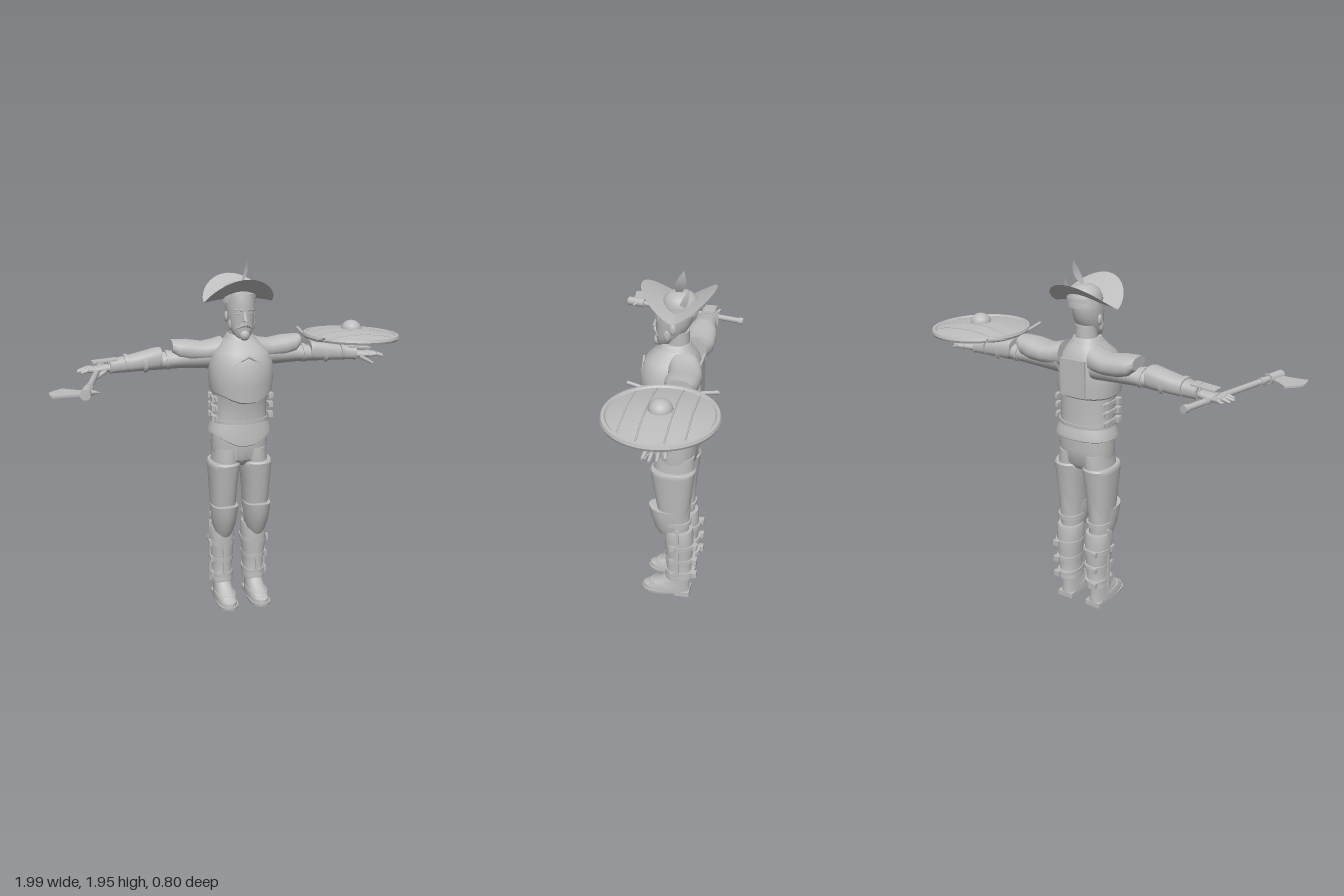
import * as THREE from 'three';
import { toCreasedNormals } from 'three/addons/utils/BufferGeometryUtils.js';

const steel = new THREE.MeshStandardMaterial({ color: 0xbcbcbc, side: THREE.DoubleSide });
steel.name = 'plain grey';

const V = (x, y, z) => new THREE.Vector3(x, y, z);

function add(parent, name, geo, x = 0, y = 0, z = 0) {
  const m = new THREE.Mesh(geo, steel);
  m.name = name;
  m.position.set(x, y, z);
  parent.add(m);
  return m;
}

// Closed skin over rounded cross-sections [y, cx, cz, rx, rz, frontDip, frontKeel], from low y to high y
function loft(sections, power = 0.85, n = 28) {
  const pos = [], idx = [];
  const sp = v => Math.sign(v) * Math.abs(v) ** power;
  for (const [y, cx, cz, rx, rz, dip = 0, keel = 0] of sections) {
    for (let i = 0; i < n; i++) {
      const a = i / n * Math.PI * 2, f = Math.max(0, Math.sin(a));
      pos.push(cx + rx * sp(Math.cos(a)), y - dip * f ** 4, cz + rz * sp(Math.sin(a)) + keel * f ** 10);
    }
  }
  const rows = sections.length, c0 = rows * n, last = (rows - 1) * n;
  for (const s of [sections[0], sections[rows - 1]]) pos.push(s[1], s[0], s[2]);
  for (let i = 0; i < n; i++) {
    const j = (i + 1) % n;
    for (let r = 0; r < rows - 1; r++) {
      const a = r * n + i, b = r * n + j;
      idx.push(a, a + n, b + n, a, b + n, b);
    }
    idx.push(c0, i, j, c0 + 1, last + j, last + i);
  }
  const g = new THREE.BufferGeometry();
  g.setAttribute('position', new THREE.Float32BufferAttribute(pos, 3));
  g.setIndex(idx);
  return toCreasedNormals(g, 0.7);
}

// Tapered rod between two points
function rod(parent, name, a, b, r1, r2 = r1, sides = 12) {
  const d = b.clone().sub(a);
  const m = add(parent, name, new THREE.CylinderGeometry(r2, r1, d.length(), sides));
  m.position.copy(a).add(b).multiplyScalar(0.5);
  m.quaternion.setFromUnitVectors(V(0, 1, 0), d.normalize());
  return m;
}

function ball(parent, name, x, y, z, rx, ry, rz) {
  const m = add(parent, name, new THREE.SphereGeometry(1, 16, 12), x, y, z);
  m.scale.set(rx, ry, rz);
  return m;
}

const box = (parent, name, w, h, d, x, y, z) => add(parent, name, new THREE.BoxGeometry(w, h, d), x, y, z);

function buildTorso(g) {
  add(g, 'breastplate', loft([[1.245, 0, -.065, .155, .135, .045, .005], [1.255, 0, -.062, .166, .15, .045, .01],
    [1.32, 0, -.06, .174, .152, .02, .01], [1.41, 0, -.06, .168, .155, 0, .008], [1.47, 0, -.065, .14, .135],
    [1.5, 0, -.075, .11, .11], [1.53, 0, -.08, .085, .085]]));
  add(g, 'waistPlate', loft([[1.07, 0, -.083, .15, .118], [1.13, 0, -.083, .146, .114, 0, .008],
    [1.2, 0, -.08, .148, .116, 0, .01], [1.27, 0, -.07, .155, .125, 0, .01]]));
  add(g, 'hipSkirt', loft([[1.015, 0, -.087, .168, .13, .06], [1.02, 0, -.087, .175, .136, .06],
    [1.04, 0, -.086, .172, .134, .05], [1.085, 0, -.084, .153, .12, .01]]));
  add(g, 'belt', loft([[1.08, 0, -.083, .156, .123], [1.1, 0, -.083, .156, .123]]));
  add(g, 'trouserSeat', loft([[.83, 0, -.095, .09, .07], [.87, 0, -.09, .15, .105], [.95, 0, -.09, .157, .112],
    [1.04, 0, -.09, .15, .112]]));
  add(g, 'gorget', loft([[1.49, 0, -.075, .105, .105], [1.545, 0, -.08, .075, .078], [1.555, 0, -.08, .068, .07]]));
  // raised back panel and chest chevron
  box(g, 'backPanel', .15, .2, .012, 0, 1.36, -.214);
  for (const s of [-1, 1]) {
    rod(g, 'chestRidge', V(s * .085, 1.41, .078), V(0, 1.455, .088), .006);
    for (const y of [1.215, 1.165, 1.11]) {
      box(g, 'sideStrap', .014, .02, .16, s * .15, y, -.08);
      box(g, 'sideBuckle', .03, .03, .03, s * .158, y, -.03);
      box(g, 'sideBuckle', .022, .026, .025, s * .155, y, -.13);
    }
  }
}

function buildHead(g) {
  add(g, 'neck', loft([[1.48, 0, -.09, .058, .06], [1.62, 0, -.085, .056, .062]], 1));
  add(g, 'head', loft([[1.54, 0, -.015, .03, .03], [1.56, 0, -.03, .05, .05], [1.6, 0, -.05, .065, .072],
    [1.66, 0, -.068, .073, .09], [1.71, 0, -.07, .077, .098], [1.77, 0, -.075, .07, .09]], .95));
  rod(g, 'nose', V(0, 1.685, .016), V(0, 1.632, .03), .007, .014);
  ball(g, 'beard', 0, 1.557, .014, .027, .028, .022);
  for (const s of [-1, 1]) {
    rod(g, 'moustache', V(0, 1.615, .028), V(s * .042, 1.594, .004), .011, .005);
    rod(g, 'brow', V(s * .014, 1.69, .021), V(s * .052, 1.69, .002), .007, .005);
    ball(g, 'eye', s * .031, 1.67, .007, .011, .008, .01);
    ball(g, 'ear', s * .076, 1.648, -.075, .01, .028, .018);
    ball(g, 'sideburn', s * .064, 1.61, -.045, .01, .032, .018);
  }
}

function buildHat(g) {
  // brim turned up at front and back
  const brim = new THREE.RingGeometry(.06, .187, 48, 8).rotateX(-Math.PI / 2);
  const p = brim.attributes.position;
  for (let i = 0; i < p.count; i++) {
    const u = Math.abs(p.getX(i)) / .187, w = Math.abs(p.getZ(i)) / .187;
    p.setY(i, 1.742 + .112 * w ** 1.15 - .022 * u * u);
  }
  brim.computeVertexNormals();
  add(g, 'hatBrim', brim, -.005, 0, -.092);
  add(g, 'hatCrown', loft([[1.72, 0, -.1, .09, .092], [1.77, 0, -.1, .088, .09], [1.8, 0, -.1, .076, .078],
    [1.82, 0, -.1, .048, .05], [1.828, 0, -.1, .012, .012]], 1));
  add(g, 'hatBand', loft([[1.748, 0, -.1, .094, .095], [1.768, 0, -.1, .092, .094]], 1));
  // leaf-shaped feathers
  const feather = (a, b, width, bend) => {
    const f = new THREE.PlaneGeometry(1, 1, 2, 10), q = f.attributes.position;
    for (let i = 0; i < q.count; i++) {
      const t = q.getY(i) + .5, c = a.clone().lerp(b, t);
      q.setXYZ(i, c.x + bend * Math.sin(Math.PI * t), c.y, c.z + q.getX(i) * width * Math.sin(Math.PI * t ** .8));
    }
    f.computeVertexNormals();
    add(g, 'feather', f);
  };
  feather(V(.01, 1.81, -.09), V(.052, 1.95, -.125), .055, .012);
  feather(V(.075, 1.745, -.115), V(.083, 1.87, -.158), .035, .006);
}

function buildLeg(g, s) {
  const x = s * .095;
  add(g, 'trouserLeg', loft([[.4, x, -.11, .055, .065], [.7, x, -.09, .072, .098], [.85, s * .082, -.088, .076, .112],
    [.93, s * .075, -.09, .075, .108]], 1));
  add(g, 'thighPlate', loft([[.52, x, -.092, .064, .078], [.6, x, -.09, .07, .09], [.74, s * .094, -.086, .078, .108],
    [.825, s * .091, -.085, .087, .12], [.845, s * .091, -.085, .088, .123], [.855, s * .091, -.085, .082, .116]]));
  add(g, 'kneeGuard', loft([[.44, x, -.075, .052, .055, .03], [.49, x, -.07, .066, .075, .03, .006],
    [.56, x, -.065, .073, .095, .01, .01], [.6, x, -.06, .074, .1, -.01, .008]]));
  add(g, 'greave', loft([[.12, x, -.125, .062, .078], [.14, x, -.125, .063, .08], [.17, x, -.125, .056, .07],
    [.25, x, -.125, .06, .074], [.35, x, -.125, .069, .08], [.44, x, -.12, .071, .08], [.46, x, -.12, .066, .076]]));
  box(g, 'greaveHinge', .012, .37, .016, x + s * .066, .3, -.125);
  box(g, 'greaveRidge', .012, .28, .01, x, .3, -.05);
  for (const [y, r] of [[.36, .074], [.26, .065], [.165, .062]]) {
    add(g, 'greaveStrap', loft([[y - .011, x, -.13, r, .085], [y + .011, x, -.13, r, .085]]));
    box(g, 'greaveBuckle', .035, .03, .025, x + s * .03, y, -.217);
    box(g, 'greaveBuckle', .014, .032, .03, x + s * r, y, -.095);
  }
  add(g, 'kneeStrap', loft([[.5, x, -.1, .07, .088], [.525, x, -.1, .07, .088]]));
  // boot
  add(g, 'boot', loft([[.02, x, -.05, .056, .138], [.045, x, -.052, .056, .136], [.07, x, -.075, .052, .11],
    [.1, x, -.105, .048, .08], [.15, x, -.125, .046, .06]]));
  add(g, 'sole', loft([[.008, x, -.01, .058, .1], [.024, x, -.01, .06, .102]]));
  box(g, 'heel', .095, .03, .085, x, .015, -.147);
  add(g, 'bootStrap', loft([[.056, x, -.05, .058, .105], [.068, x, -.055, .056, .1]]));
}

function buildArm(g, s) {
  // sections run outward: [distance, height, z, half height, half depth]
  const limb = (name, rows, power) => {
    const m = add(g, name, loft(rows.map(([d, y, z, ry, rz]) => [d, -s * y, z, ry, rz]), power));
    m.rotation.z = -s * Math.PI / 2;
  };
  limb('sleeve', [[.1, 1.43, -.145, .075, .075], [.2, 1.425, -.15, .062, .068], [.33, 1.42, -.15, .05, .062],
    [.45, 1.412, -.145, .043, .055], [.7, 1.395, -.14, .028, .036]], 1);
  limb('shoulderPlate', [[.09, 1.465, -.14, .068, .08], [.13, 1.46, -.15, .058, .085], [.19, 1.455, -.16, .052, .085],
    [.27, 1.463, -.16, .058, .085], [.33, 1.473, -.16, .05, .078], [.36, 1.49, -.16, .034, .06]]);
  limb('armBand', [[.375, 1.418, -.148, .052, .064], [.395, 1.417, -.148, .052, .064]], 1);
  limb('forearmPlate', [[.42, 1.435, -.148, .052, .062], [.44, 1.43, -.147, .058, .066], [.56, 1.415, -.145, .046, .06],
    [.68, 1.402, -.142, .036, .046], [.695, 1.402, -.142, .04, .05]], .75);
  for (const d of [.5, .6]) limb('forearmStrap', [[d, 1.415, -.145, .054 - (d - .5) * .08, .064], [d + .018, 1.413, -.145, .053 - (d - .5) * .08, .063]], .75);
  // plate over the back of the hand
  const plate = box(g, 'handPlate', .13, .008, .07, s * .72, 1.434, -.142);
  plate.rotation.z = -s * .08;
  // hand
  limb('palm', [[.68, 1.395, -.14, .02, .03], [.72, 1.393, -.14, .02, .042], [.78, 1.39, -.14, .015, .045]]);
  [-.178, -.153, -.128, -.103].forEach((z, i) => {
    const len = [.06, .085, .09, .075][i], zz = z + (z + .14) * .35;
    const mid = V(s * (.775 + len * .5), 1.394, (z + zz) / 2);
    rod(g, 'finger', V(s * .77, 1.39, z), mid, .012, .011, 8);
    rod(g, 'finger', mid, V(s * (.775 + len), 1.384, zz), .011, .007, 8);
  });
  rod(g, 'thumb', V(s * .72, 1.385, -.11), V(s * .79, 1.345, -.085), .015, .008, 8);
}

function buildShield(root) {
  const g = new THREE.Group();
  g.name = 'shield';
  g.position.set(.72, 1.502, -.137);
  g.rotation.z = -.025;
  root.add(g);
  const pts = [[0, .028], [.1, .02], [.24, -.006], [.25, -.014], [.265, -.012], [.27, 0], [.265, .014], [.25, .016],
    [.243, .008], [.18, .022], [.1, .036], [0, .043]].map(([x, y]) => new THREE.Vector2(x, y));
  add(g, 'shieldFace', toCreasedNormals(new THREE.LatheGeometry(pts, 56), .5));
  const boss = ball(g, 'shieldBoss', 0, .036, 0, .057, .05, .057);
  boss.geometry = new THREE.SphereGeometry(1, 24, 8, 0, Math.PI * 2, 0, Math.PI / 2);
  // board joints following the dome
  for (const z of [-.145, -.062, .062, .155]) {
    const half = Math.sqrt(.24 ** 2 - z * z), line = [];
    for (let i = 0; i <= 8; i++) {
      const x = half * (i / 4 - 1);
      line.push(V(x, .044 - .036 * (Math.hypot(x, z) / .243) ** 1.6, z));
    }
    add(g, 'boardJoint', new THREE.TubeGeometry(new THREE.CatmullRomCurve3(line), 16, .004, 6));
  }
  box(g, 'shieldGrip', .11, .01, .035, 0, -.032, 0);
  for (const s of [-1, 1]) box(g, 'gripPost', .01, .05, .03, s * .05, -.01, 0);
  // curved bar at the inner rim
  const bar = new THREE.CatmullRomCurve3([V(-.236, .014, -.225), V(-.24, -.005, -.11), V(-.24, -.012, 0), V(-.24, -.005, .11), V(-.248, .014, .21)]);
  add(g, 'rimBar', new THREE.TubeGeometry(bar, 20, .009, 8));
}

function buildAxe(root) {
  const g = new THREE.Group();
  g.name = 'axe';
  root.add(g);
  const a = V(-.66, 1.378, -.34), b = V(-.838, 1.378, .385);
  const at = t => a.clone().lerp(b, t);
  rod(g, 'axeHandle', a, b, .016);
  for (const [t0, t1, r] of [[0, .035, .021], [.2, .22, .019], [.76, .79, .021], [.85, .99, .026]]) rod(g, 'axeCollar', at(t0), at(t1), r);
  const shape = new THREE.Shape();
  shape.moveTo(-.82, .285);
  shape.quadraticCurveTo(-.86, .27, -.925, .21);
  shape.quadraticCurveTo(-.985, .26, -.995, .29);
  shape.quadraticCurveTo(-1, .34, -.985, .37);
  shape.quadraticCurveTo(-.91, .355, -.835, .36);
  const blade = new THREE.ExtrudeGeometry(shape, { depth: .01, bevelEnabled: false }).rotateX(Math.PI / 2);
  add(g, 'axeBlade', blade, 0, 1.38, 0);
  rod(g, 'axeSpike', V(-.82, 1.378, .325), V(-.762, 1.378, .34), .02, .001);
}

export function createModel() {
  const root = new THREE.Group();
  root.name = 'armouredFigure';
  const body = new THREE.Group();
  body.name = 'body';
  body.position.x = .05;
  root.add(body);
  buildTorso(body);
  buildHead(body);
  buildHat(body);
  for (const s of [-1, 1]) {
    buildLeg(body, s);
    buildArm(body, s);
  }
  buildShield(root);
  buildAxe(root);
  return root;
}
